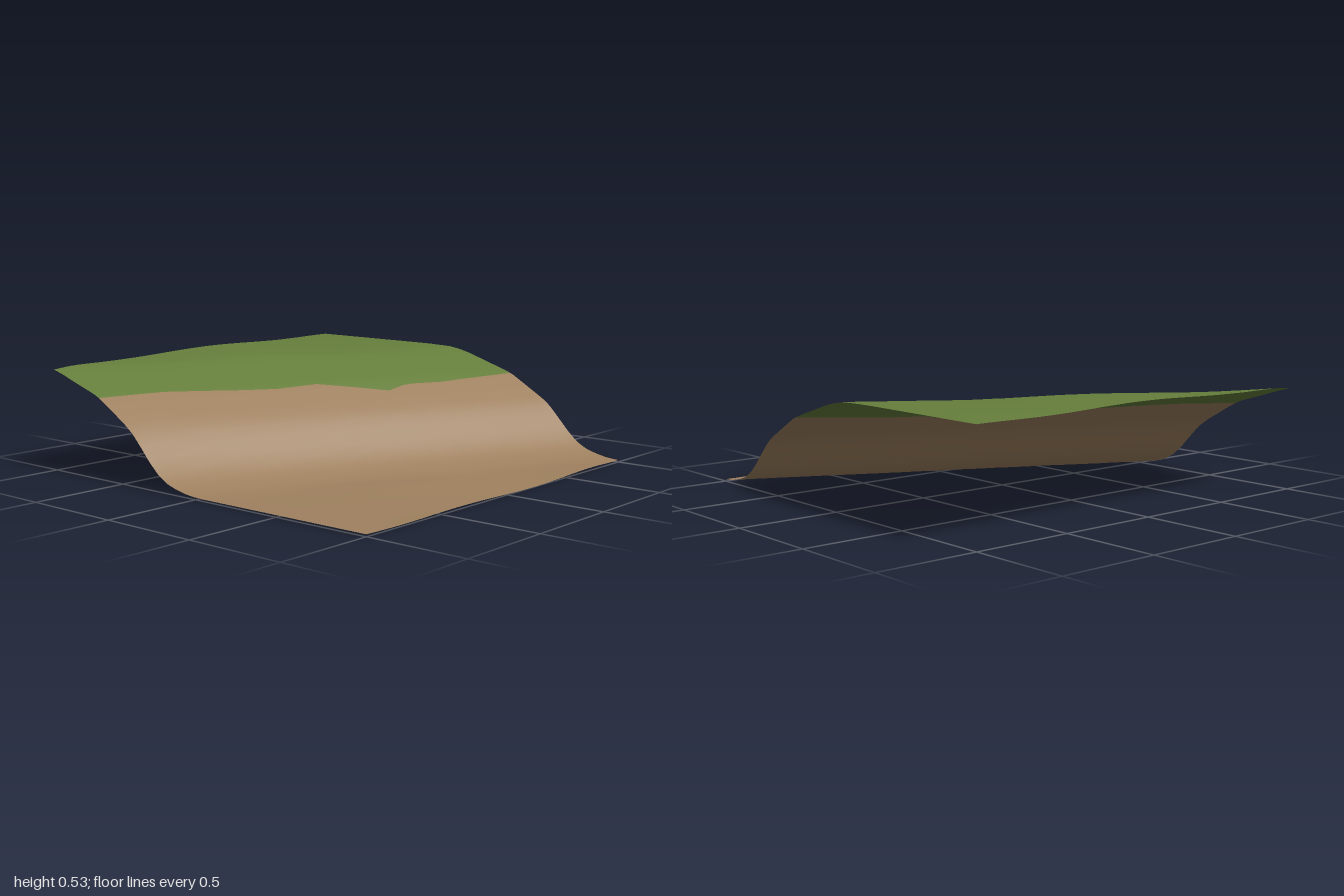
import * as THREE from 'three';

// Slope cross-section: [distance in front of the slope's midline, height]
const PROFILE = [[-1.7, 0.525], [-0.8, 0.525], [-0.62, 0.52], [-0.51, 0.495], [-0.42, 0.465],
  [-0.24, 0.41], [0, 0.27], [0.16, 0.1], [0.24, 0.05], [0.36, 0.022], [0.45, 0.016], [1.6, 0.018]];
// Grass edge across the slope: [x, z]
const GRASS_EDGE = [[-1, -0.66], [-0.7, -0.53], [-0.35, -0.33], [-0.2, -0.25], [0, -0.17],
  [0.3, 0.06], [0.42, 0.08], [0.6, 0.17], [1, 0.33]];

function lerpTable(table, t) {
  let i = 1;
  while (i < table.length - 1 && t > table[i][0]) i++;
  const [a, b] = [table[i - 1], table[i]];
  return a[1] + (b[1] - a[1]) * (t - a[0]) / (b[0] - a[0]);
}

// Height of the ground, with the profile softened and the flats gently uneven
function height(x, z) {
  const s = z - 0.07 - 0.5 * x;
  let y = 0;
  for (const d of [-0.03, 0, 0.03]) y += lerpTable(PROFILE, s + d) / 3;
  const flat = THREE.MathUtils.smoothstep(Math.abs(s + 0.05), 0.35, 0.65);
  const edge = 1 - x * x * x * x;
  const bumps = 0.006 * Math.sin(5.2 * x + 2.4 + z) + 0.005 * Math.sin(4.3 * z - 2 * x);
  return Math.max(0.003, y + flat * edge * bumps);
}

export function createModel() {
  const grass = new THREE.MeshStandardMaterial({ color: 0x667f3c, side: THREE.DoubleSide });
  grass.name = 'grass green';
  const earth = new THREE.MeshStandardMaterial({ color: 0x9f815f, side: THREE.DoubleSide });
  earth.name = 'earth brown';

  // One sheet whose rows bend to follow the grass edge
  const cols = 40, backRows = 20, frontRows = 28, rows = backRows + frontRows;
  const positions = [], grassIndex = [], earthIndex = [];
  for (let r = 0; r <= rows; r++) {
    for (let c = 0; c <= cols; c++) {
      const x = -1 + 2 * c / cols;
      const e = lerpTable(GRASS_EDGE, x);
      const z = r <= backRows
        ? -1 + (e + 1) * r / backRows
        : e + (1 - e) * (r - backRows) / frontRows;
      positions.push(x, height(x, z), z);
      if (r < rows && c < cols) {
        const a = r * (cols + 1) + c, b = a + cols + 1;
        (r < backRows ? grassIndex : earthIndex).push(a, b, a + 1, b, b + 1, a + 1);
      }
    }
  }

  // Smooth normals over the whole sheet, shared by both parts
  const sheet = new THREE.BufferGeometry();
  sheet.setAttribute('position', new THREE.Float32BufferAttribute(positions, 3));
  sheet.setIndex([...grassIndex, ...earthIndex]);
  sheet.computeVertexNormals();

  const model = new THREE.Group();
  model.name = 'hillside';
  const addPart = (name, index, material) => {
    const geometry = sheet.clone();
    geometry.setIndex(index);
    const mesh = new THREE.Mesh(geometry, material);
    mesh.name = name;
    model.add(mesh);
  };
  addPart('grassPlateau', grassIndex, grass);
  addPart('earthSlope', earthIndex, earth);
  return model;
}
